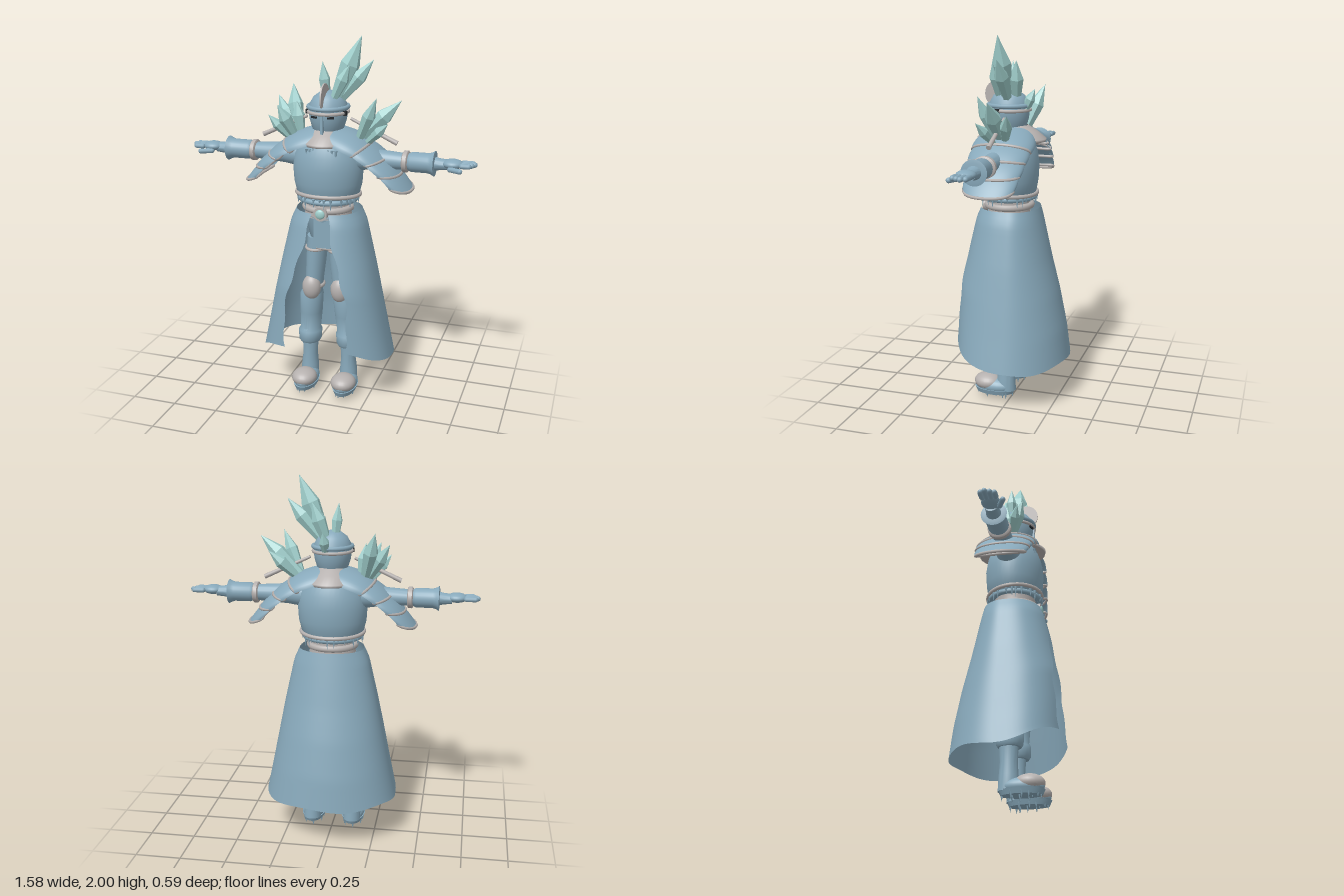
import * as THREE from 'three';
import { toCreasedNormals } from 'three/addons/utils/BufferGeometryUtils.js';

const V = (x, y, z) => new THREE.Vector3(x, y, z);
const flat = (name, color, extra = {}) =>
  Object.assign(new THREE.MeshStandardMaterial({ color, ...extra }), { name });

// Surface from a rule fn(u, v) -> Vector3
function grid(nu, nv, fn) {
  const pos = [], idx = [];
  for (let i = 0; i <= nu; i++) for (let j = 0; j <= nv; j++) pos.push(...fn(i / nu, j / nv).toArray());
  for (let i = 0; i < nu; i++) for (let j = 0; j < nv; j++) {
    const a = i * (nv + 1) + j, d = a + nv + 1;
    idx.push(a, a + 1, d + 1, a, d + 1, d);
  }
  const g = new THREE.BufferGeometry();
  g.setAttribute('position', new THREE.Float32BufferAttribute(pos, 3));
  g.setIndex(idx);
  g.computeVertexNormals();
  return g;
}

// Elliptical sections [x, y, z, rx, rz], listed upwards, with closed ends
function loft(sections, sides = 28) {
  const s = [...sections];
  const a = s[0], b = s[s.length - 1];
  s.unshift([a[0], a[1], a[2], 0, 0]);
  s.push([b[0], b[1], b[2], 0, 0]);
  const g = grid(s.length - 1, sides, (u, v) => {
    const [x, y, z, rx, rz] = s[Math.round(u * (s.length - 1))];
    const t = Math.PI + v * Math.PI * 2;
    return V(x + rx * Math.sin(t), y, z + rz * Math.cos(t));
  });
  return toCreasedNormals(g, 0.75);
}

// Piecewise linear table lookup
function lookup(xs, ys, x) {
  let i = 1;
  while (i < xs.length - 1 && x > xs[i]) i++;
  return THREE.MathUtils.lerp(ys[i - 1], ys[i], (x - xs[i - 1]) / (xs[i] - xs[i - 1]));
}

export function createModel() {
  const root = new THREE.Group();
  root.name = 'armouredFigure';
  const blue = flat('frostBlue', 0x88a9bb);
  const cloth = flat('clothBlue', 0x88a9bb, { side: THREE.DoubleSide });
  const grey = flat('paleMetal', 0xb6b1af);
  const ice = flat('crystal', 0xa0cfcc, { flatShading: true });
  const dark = flat('darkMetal', 0x22272b);

  const add = (name, geo, mat, p = [0, 0, 0]) => {
    const m = new THREE.Mesh(geo, mat);
    m.name = name;
    m.position.set(...p);
    root.add(m);
    return m;
  };
  const ball = (name, mat, p, r) => { add(name, new THREE.SphereGeometry(1, 24, 16), mat, p).scale.set(...r); };
  // A geometry whose y axis is turned to run from a to b
  const along = (name, geo, mat, a, dir) => {
    const m = add(name, geo, mat, a.toArray());
    m.quaternion.setFromUnitVectors(V(0, 1, 0), dir.clone().normalize());
    return m;
  };
  const rod = (name, mat, a, b, r0, r1 = r0) => {
    const d = b.clone().sub(a);
    along(name, new THREE.CylinderGeometry(r1, r0, d.length(), 14).translate(0, d.length() / 2, 0), mat, a, d);
  };
  const crystal = (a, b, r) => {
    const d = b.clone().sub(a), l = d.length();
    const pts = [[0, 0], [r * 0.55, 0.02], [r, l * 0.62], [0, l]].map(p => new THREE.Vector2(...p));
    along('crystal', new THREE.LatheGeometry(pts, 6), ice, a, d);
  };
  const icicle = (x, y, z, len, r = 0.009) =>
    add('icicle', new THREE.ConeGeometry(r, len, 5).rotateX(Math.PI), blue, [x, y - len / 2, z]);
  const hoop = (name, mat, p, rx, rz, tube) => {
    const m = add(name, new THREE.TorusGeometry(1, tube / rx, 8, 40).rotateX(Math.PI / 2), mat, p);
    m.scale.set(rx, rx, rz);
    return m;
  };

  // Long open-fronted skirt
  const F = [0, 0.08, 0.35, 0.56, 0.8, 1];
  add('skirt', grid(28, 72, (f, v) => {
    const a = lookup(F, [0.175, 0.205, 0.255, 0.29, 0.33, 0.365], f);
    const zf = lookup(F, [0.19, 0.215, 0.26, 0.3, 0.31, 0.315], f);
    const zb = lookup(F, [0.13, 0.145, 0.195, 0.24, 0.28, 0.3], f);
    const edge = lookup(F, [0.045, 0.055, 0.105, 0.16, 0.18, 0.17], f) + 0.008 * Math.sin(f * 22);
    const t0 = Math.asin(edge / a), t = t0 + v * (Math.PI - t0) * 2;
    const c = Math.cos(t), front = Math.max(0, c);
    const hem = 0.235 + 0.125 * front ** 1.2 + 0.008 * Math.sin(t * 5);
    return V(a * Math.sin(t), THREE.MathUtils.lerp(1.08, hem, f), c > 0 ? zf * c ** 0.72 : zb * c);
  }), cloth);

  // Torso, waist, belt and hips
  const body = (name, mat, rows) => add(name, loft(rows.map(([y, rx, rz]) => [0, y, 0.04, rx, rz]), 40), mat);
  body('breastplate', blue, [[1.14, 0.15, 0.13], [1.17, 0.17, 0.145], [1.23, 0.185, 0.155], [1.31, 0.19, 0.16],
    [1.38, 0.182, 0.15], [1.44, 0.15, 0.13], [1.49, 0.1, 0.1], [1.53, 0.07, 0.07]]);
  body('waist', grey, [[1.04, 0.13, 0.115], [1.09, 0.12, 0.11], [1.15, 0.125, 0.115]]);
  body('hips', blue, [[0.86, 0.055, 0.06], [0.92, 0.1, 0.09], [1.05, 0.13, 0.115]]);
  hoop('belt', grey, [0, 1.09, 0.04], 0.125, 0.12, 0.018);
  const rim = hoop('breastplateRim', grey, [0, 1.165, 0.04], 0.172, 0.15, 0.011);
  rim.rotation.x = -0.06;
  hoop('lowerRim', blue, [0, 1.14, 0.04], 0.15, 0.14, 0.015);
  add('buckleRing', new THREE.CylinderGeometry(0.038, 0.038, 0.03, 24).rotateX(Math.PI / 2), grey, [0, 1.08, 0.17]);
  ball('buckleGem', ice, [0, 1.08, 0.185], [0.026, 0.026, 0.012]);
  add('tabard', new THREE.BoxGeometry(0.095, 0.18, 0.03), blue, [0, 0.97, 0.135]);
  hoop('tabardTrim', grey, [0, 0.865, 0.045], 0.1, 0.07, 0.008);
  for (let i = 0; i < 26; i++) {
    const t = i * 2.4, k = Math.abs(Math.sin(i * 7.3));
    icicle(0.165 * Math.sin(t), 1.16, 0.04 + 0.148 * Math.cos(t), 0.03 + 0.035 * k);
    if (i < 9) icicle(-0.08 + i * 0.02, 1.425, 0.165, 0.03 + 0.05 * k);
  }

  // Collar and helmet
  const collar = add('collar', new THREE.LatheGeometry(
    [[0.09, 0.05], [0.14, 0.02], [0.19, -0.02], [0.185, -0.035], [0.12, -0.01]].map(p => new THREE.Vector2(...p)), 40),
    flat('paleMetalSheet', 0xb6b1af, { side: THREE.DoubleSide }), [0, 1.475, 0.027]);
  collar.scale.set(0.75, 1, 1);
  add('helmet', loft([[1.48, 0.06, 0.07], [1.51, 0.08, 0.09], [1.56, 0.096, 0.105], [1.6, 0.102, 0.11],
    [1.64, 0.1, 0.108], [1.68, 0.078, 0.085], [1.705, 0.045, 0.05], [1.715, 0.012, 0.015]]
    .map(([y, rx, rz]) => [0, y, 0.04, rx, rz]), 36), blue);
  hoop('helmetBand', grey, [0, 1.605, 0.04], 0.104, 0.112, 0.009);
  hoop('helmetBrim', blue, [0, 1.63, 0.04], 0.103, 0.111, 0.012);
  add('noseGuard', new THREE.BoxGeometry(0.014, 0.12, 0.02), blue, [0, 1.55, 0.145]);
  const fin = new THREE.CylinderGeometry(0.07, 0.07, 0.008, 32).rotateZ(Math.PI / 2);
  add('crestFin', fin, grey, [0, 1.685, 0.105]).scale.y = 1.05;

  // Crystals on helmet and shoulders
  [[0.02, 1.62, 0.04, 0.18, 2.0, 0.045, 0.052], [0.04, 1.64, 0.03, 0.24, 1.88, 0.03, 0.04],
    [0.01, 1.62, 0.0, 0.1, 1.87, -0.03, 0.04], [0.03, 1.65, 0.08, 0.13, 1.86, 0.09, 0.034],
    [-0.01, 1.62, 0.02, -0.035, 1.86, 0.03, 0.03], [0.02, 1.58, -0.04, 0.03, 1.72, -0.11, 0.028],
    [0.15, 1.45, 0.03, 0.39, 1.68, 0.03, 0.044], [0.16, 1.44, 0.05, 0.28, 1.7, 0.12, 0.036],
    [0.17, 1.45, 0.01, 0.33, 1.61, -0.05, 0.034], [0.2, 1.44, 0.05, 0.34, 1.57, 0.11, 0.028],
    [-0.17, 1.44, 0.02, -0.24, 1.72, -0.09, 0.042], [-0.18, 1.44, 0.03, -0.315, 1.66, -0.06, 0.036],
    [-0.17, 1.44, 0.05, -0.25, 1.64, 0.13, 0.036], [-0.15, 1.44, 0.03, -0.18, 1.65, 0.03, 0.034],
    [-0.2, 1.44, 0.05, -0.31, 1.58, 0.11, 0.028]]
    .forEach(([a, b, c, d, e, f, r]) => crystal(V(a, b, c), V(d, e, f), r));

  // Layered shoulder guards
  const spine = new THREE.CatmullRomCurve3([V(0.03, 1.455, 0), V(0.17, 1.405, 0), V(0.31, 1.305, 0), V(0.425, 1.18, 0)]);
  const padPoint = (s, u, v, k) => {
    const w = 0.165 * k * (1 - 0.2 * u * u), h = (0.085 - 0.04 * u) * k;
    const uu = Math.max(0, u - 0.16 * u * v * v);
    const p = spine.getPoint(uu), t = spine.getTangent(uu), q = v * Math.PI / 2;
    return V(s * (p.x - t.y * h * Math.cos(q)), p.y + t.x * h * Math.cos(q), 0.03 + w * Math.sin(q));
  };

  for (const s of [1, -1]) {
    const ends = [0, 0.4, 0.6, 0.8, 1];
    for (let i = 1; i < ends.length; i++) {
      const u0 = Math.max(0, ends[i - 1] - 0.1), u1 = ends[i];
      const scale = f => 0.9 + 0.14 * Math.sin(f * Math.PI * 0.62);
      add('shoulderPlate', grid(10, 24, (f, v) =>
        padPoint(s, THREE.MathUtils.lerp(u0, u1, f), v * 2 - 1, scale(f))), cloth);
      const trim = [];
      for (let j = 0; j <= 16; j++) trim.push(padPoint(s, u1 - 0.01, j / 8 - 1, 0.99));
      const under = trim[8].clone().lerp(trim[0], 0.9);
      under.z = 0.03;
      add('shoulderTrim', new THREE.TubeGeometry(
        new THREE.CatmullRomCurve3([...trim, under], true), 48, 0.008, 6, true), grey);
    }
    rod('shoulderSpike', grey, V(s * 0.12, 1.57, 0.03), V(s * 0.37, 1.455, 0.03), 0.008, 0.013);

    // Arm, lofted along x from [x, y radius, z radius]
    const sleeve = (name, mat, rows) => add(name,
      loft(rows.map(([x, ry, rz]) => [-s * 1.365, x, 0.035, ry, rz])).rotateZ(-s * Math.PI / 2), mat);
    sleeve('upperArm', blue, [[0.14, 0.07, 0.07], [0.24, 0.055, 0.055], [0.43, 0.042, 0.045]]);
    sleeve('elbowRing', grey, [[0.405, 0.05, 0.055], [0.41, 0.057, 0.062], [0.43, 0.057, 0.062], [0.435, 0.05, 0.055]]);
    sleeve('gauntlet', blue, [[0.435, 0.044, 0.047], [0.45, 0.052, 0.055], [0.54, 0.052, 0.055],
      [0.558, 0.058, 0.062], [0.572, 0.066, 0.068], [0.575, 0.05, 0.055]]);
    sleeve('wrist', blue, [[0.57, 0.036, 0.04], [0.6, 0.03, 0.035], [0.64, 0.026, 0.034]]);
    ball('palm', blue, [s * 0.665, 1.372, 0.04], [0.055, 0.026, 0.05]);
    for (let i = 0; i < 4; i++) {
      const z = 0.005 + i * 0.023, len = 0.06 - 0.012 * Math.abs(i - 1);
      add('finger', new THREE.CapsuleGeometry(0.014, len, 4, 10).rotateZ(Math.PI / 2), blue,
        [s * (0.715 + len / 2), 1.372, z]);
    }
    const thumb = add('thumb', new THREE.CapsuleGeometry(0.014, 0.06, 4, 10).rotateZ(Math.PI / 2), blue,
      [s * 0.685, 1.352, 0.095]);
    thumb.rotation.y = -s * 0.45;
    add('visorHinge', new THREE.BoxGeometry(0.022, 0.022, 0.024), dark, [s * 0.1, 1.605, 0.075]);
    add('eyeSlit', new THREE.BoxGeometry(0.035, 0.01, 0.008), dark, [s * 0.045, 1.588, 0.143]).rotation.y = s * 0.42;

    // Leg
    const leg = (name, mat, rows) => add(name, loft(rows.map(([x, ...r]) => [s * x, ...r])), mat);
    leg('thigh', blue, [[0.082, 0.56, 0.05, 0.046, 0.055], [0.075, 0.68, 0.05, 0.05, 0.06],
      [0.066, 0.8, 0.045, 0.055, 0.07], [0.06, 0.92, 0.04, 0.055, 0.075]]);
    leg('shinGuard', blue, [[0.112, 0.275, 0.03, 0.055, 0.06], [0.112, 0.29, 0.03, 0.064, 0.07],
      [0.11, 0.345, 0.03, 0.066, 0.072], [0.108, 0.36, 0.03, 0.056, 0.062], [0.102, 0.46, 0.035, 0.062, 0.068],
      [0.096, 0.57, 0.045, 0.066, 0.068], [0.09, 0.6, 0.045, 0.055, 0.06]]);
    ball('kneePad', grey, [s * 0.082, 0.625, 0.09], [0.052, 0.072, 0.045]);
    hoop('kneeStrap', grey, [s * 0.082, 0.63, 0.05], 0.052, 0.06, 0.012);
    hoop('thighStrap', grey, [s * 0.064, 0.85, 0.045], 0.057, 0.072, 0.008);
    leg('ankle', blue, [[0.115, 0.05, 0.025, 0.05, 0.055], [0.115, 0.13, 0.025, 0.048, 0.05],
      [0.113, 0.2, 0.025, 0.04, 0.045], [0.112, 0.29, 0.025, 0.046, 0.05]]);
    ball('foot', blue, [s * 0.115, 0.07, 0.09], [0.066, 0.048, 0.115]);
    ball('toeCap', grey, [s * 0.115, 0.088, 0.13], [0.07, 0.047, 0.078]);
    leg('sole', blue, [[0.115, 0.028, 0.09, 0.058, 0.105], [0.115, 0.055, 0.09, 0.068, 0.118]]);
    for (let i = 0; i < 16; i++) {
      const t = i * 2.4, r = i % 3 ? 0.95 : 0.5;
      icicle(s * 0.115 + 0.058 * r * Math.sin(t), 0.05, 0.09 + 0.105 * r * Math.cos(t),
        0.035 + 0.015 * Math.abs(Math.sin(i * 5.1)), 0.011);
    }
  }
  return root;
}
